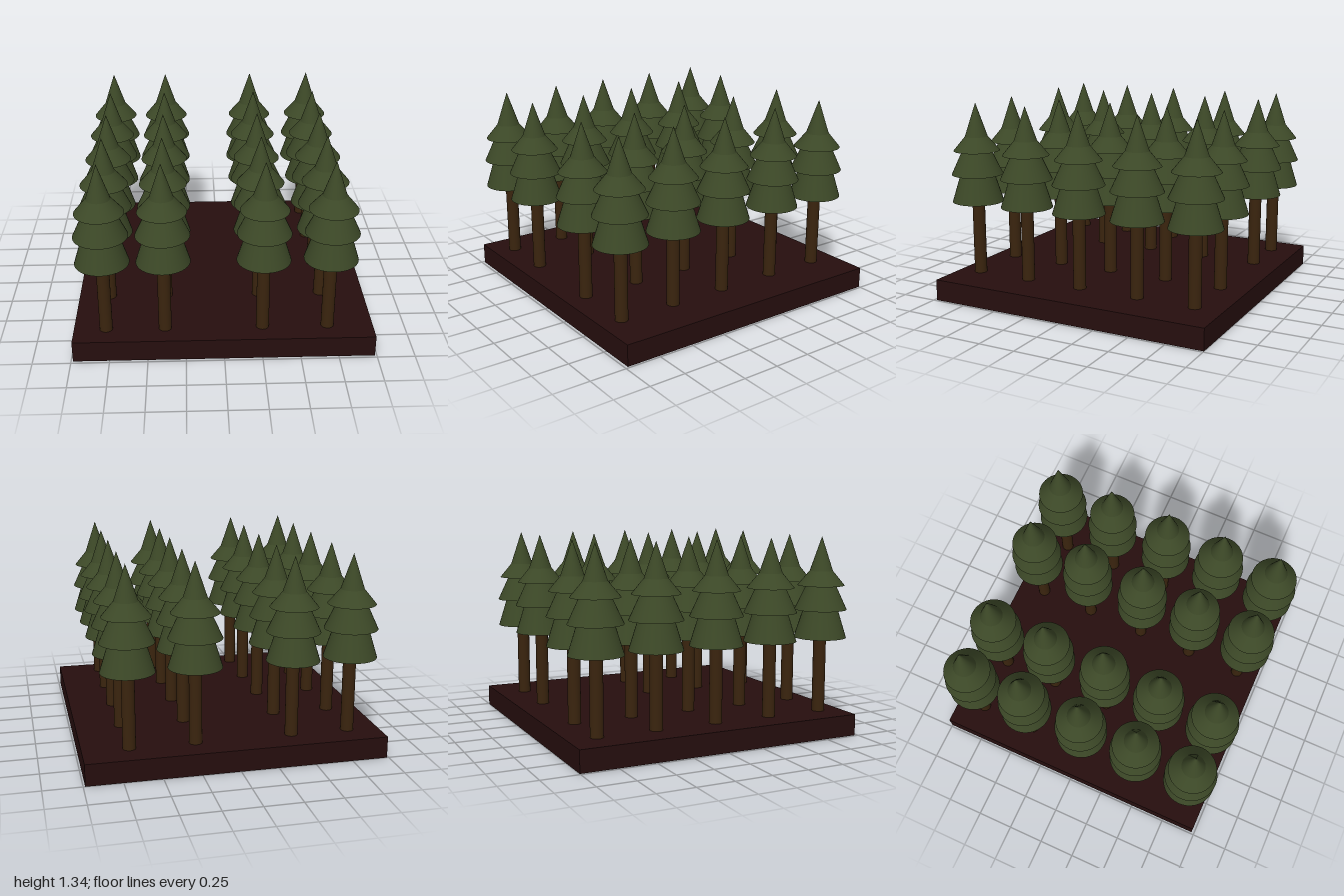
import * as THREE from 'three';

const foliageMat = new THREE.MeshStandardMaterial({ color: 0x3c4827 });
foliageMat.name = 'foliage green';
const barkMat = new THREE.MeshStandardMaterial({ color: 0x3a240e });
barkMat.name = 'bark brown';
const soilMat = new THREE.MeshStandardMaterial({ color: 0x260e0e });
soilMat.name = 'dark soil';

// Cone section standing between two heights
function section(y0, y1, r0, r1, open) {
  const g = new THREE.CylinderGeometry(r1, r0, y1 - y0, 40, 1, open);
  return g.translate(0, (y0 + y1) / 2, 0);
}

const BASE_TOP = 0.145;
const parts = [
  ['trunk', section(BASE_TOP, 0.66, 0.0425, 0.0425, true), barkMat],
  ['lowerTier', section(0.655, 0.847, 0.175, 0.115, false), foliageMat],
  ['middleTier', section(0.845, 1.01, 0.175, 0.098, false), foliageMat],
  ['upperSkirt', section(1.008, 1.105, 0.157, 0.077, false), foliageMat],
  ['treeTip', section(1.105, 1.335, 0.077, 0, true), foliageMat],
];

function makeTree(x, z) {
  const tree = new THREE.Group();
  tree.name = 'tree';
  for (const [name, geometry, material] of parts) {
    const mesh = new THREE.Mesh(geometry, material);
    mesh.name = name;
    tree.add(mesh);
  }
  tree.position.set(x, 0, z);
  return tree;
}

export function createModel() {
  const model = new THREE.Group();
  model.name = 'treePlantation';

  // Ground slab
  const slab = new THREE.Mesh(new THREE.BoxGeometry(1.975, BASE_TOP, 1.98), soilMat);
  slab.name = 'groundSlab';
  slab.position.set(0, BASE_TOP / 2, -0.01);
  model.add(slab);

  // Four columns of five trees with a path between
  for (const x of [-0.775, -0.387, 0.255, 0.685])
    for (const z of [-0.807, -0.404, 0.022, 0.426, 0.825])
      model.add(makeTree(x, z));

  return model;
}
